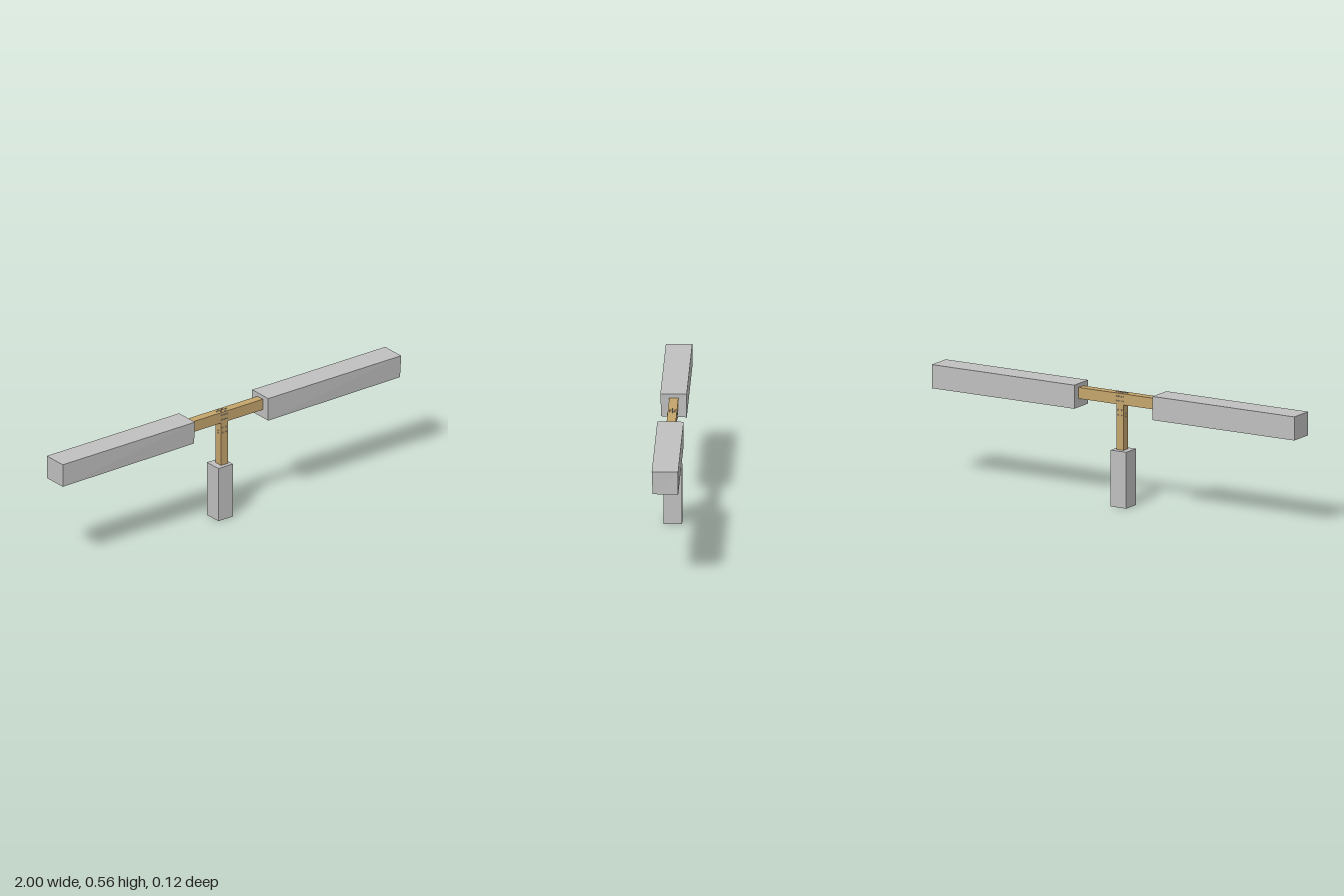
import * as THREE from 'three';

export function createModel() {
  const group = new THREE.Group();
  const grey = new THREE.MeshStandardMaterial({ color: 0xc0c0c0 });
  grey.name = 'block grey';
  const wood = new THREE.MeshStandardMaterial({ color: 0xc4a46c });
  wood.name = 'wood';
  const metal = new THREE.MeshStandardMaterial({ color: 0xb4b4b4 });
  metal.name = 'screw metal';

  // Box given by its minimum and maximum corners
  function box(name, mat, a, b) {
    const geo = new THREE.BoxGeometry(b[0] - a[0], b[1] - a[1], b[2] - a[2]);
    const mesh = new THREE.Mesh(geo, mat);
    mesh.position.set((a[0] + b[0]) / 2, (a[1] + b[1]) / 2, (a[2] + b[2]) / 2);
    mesh.name = name;
    group.add(mesh);
    return mesh;
  }

  // Long end blocks, with the lower front corner at the +x end pulled in slightly
  function endBlock(name, x0, x1) {
    const mesh = box(name, grey, [x0, 0.45, -0.062], [x1, 0.564, 0.062]);
    const p = mesh.geometry.attributes.position;
    for (let i = 0; i < p.count; i++) {
      if (p.getX(i) > 0 && p.getY(i) < 0 && p.getZ(i) > 0) {
        p.setXYZ(i, p.getX(i) - 0.004, p.getY(i) + 0.003, p.getZ(i) - 0.004);
      }
    }
    mesh.geometry = mesh.geometry.toNonIndexed();
    mesh.geometry.computeVertexNormals();
  }
  endBlock('rightBlock', -1, -0.218);
  endBlock('leftBlock', 0.214, 1);

  // Wooden T and its foot
  box('crossBeam', wood, [-0.225, 0.491, -0.023], [0.22, 0.545, 0.02]);
  box('post', wood, [-0.033, 0.27, -0.022], [0.007, 0.491, 0.02]);
  box('footBlock', grey, [-0.064, 0, -0.048], [0.022, 0.272, 0.04]);

  // Screw heads fixing the joint
  const head = new THREE.CylinderGeometry(0.002, 0.003, 0.004, 8);
  function screw(x, y, z, axis) {
    const mesh = new THREE.Mesh(head, metal);
    mesh.position.set(x, y, z);
    mesh.quaternion.setFromUnitVectors(new THREE.Vector3(0, 1, 0), axis);
    mesh.name = 'screw';
    group.add(mesh);
  }
  const cx = -0.013;
  for (const side of [1, -1]) {
    const out = new THREE.Vector3(0, 0, side);
    const z = side > 0 ? 0.021 : -0.024;
    for (const y of [0.508, 0.53]) {
      for (let i = -2; i <= 2; i++) screw(cx + i * 0.009, y, z, out);
    }
    for (const y of [0.44, 0.465]) {
      for (const dx of [-0.01, 0.01]) screw(cx + dx, y, z + side * 0.001, out);
    }
    // Sides of the post
    const outX = new THREE.Vector3(side, 0, 0);
    for (const y of [0.432, 0.445]) screw(cx + side * 0.021, y, -0.001, outX);
  }
  // Top of the beam
  const up = new THREE.Vector3(0, 1, 0);
  for (let i = -3; i <= 3; i++) screw(cx + i * 0.01, 0.546, -0.002, up);
  for (const dz of [-0.013, 0.011]) {
    for (const dx of [-0.012, 0.012]) screw(cx + dx, 0.546, dz, up);
  }
  return group;
}
